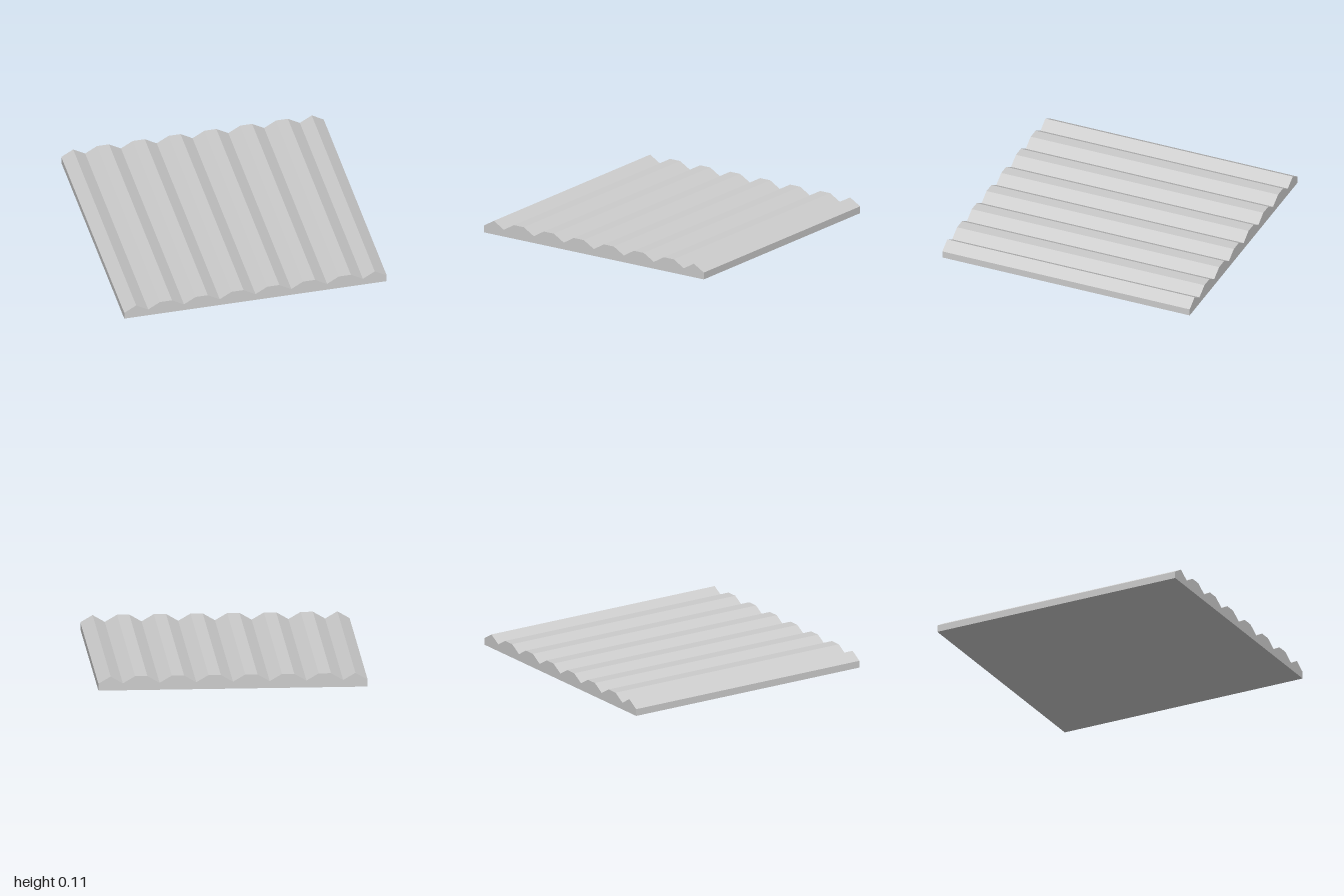
import * as THREE from 'three';

export function createModel() {
  const group = new THREE.Group();
  group.name = 'corrugatedPanel';

  const u = 1 / 11; // width of one facet
  const valley = 0.053;
  const crest = 0.106;

  // Cross-section: flat base, half ridge at each edge, flat-topped ridges between
  const profile = new THREE.Shape();
  profile.moveTo(-1, 0);
  profile.lineTo(1, 0);
  profile.lineTo(1, valley);
  profile.lineTo(10 * u, crest);
  for (let i = 9; i > -9; i -= 3) {
    profile.lineTo(i * u, valley);
    profile.lineTo((i - 1) * u, crest);
    profile.lineTo((i - 2) * u, crest);
  }
  profile.lineTo(-9 * u, valley);
  profile.lineTo(-10 * u, crest);
  profile.lineTo(-1, valley);
  profile.closePath();

  // Ridges run the full depth of the panel
  const geometry = new THREE.ExtrudeGeometry(profile, { depth: 2, bevelEnabled: false });
  geometry.translate(0, 0, -1);

  const panel = new THREE.Mesh(
    geometry,
    new THREE.MeshStandardMaterial({ color: 0xcccccc, flatShading: true })
  );
  panel.name = 'ridgedSlab';
  group.add(panel);
  return group;
}
